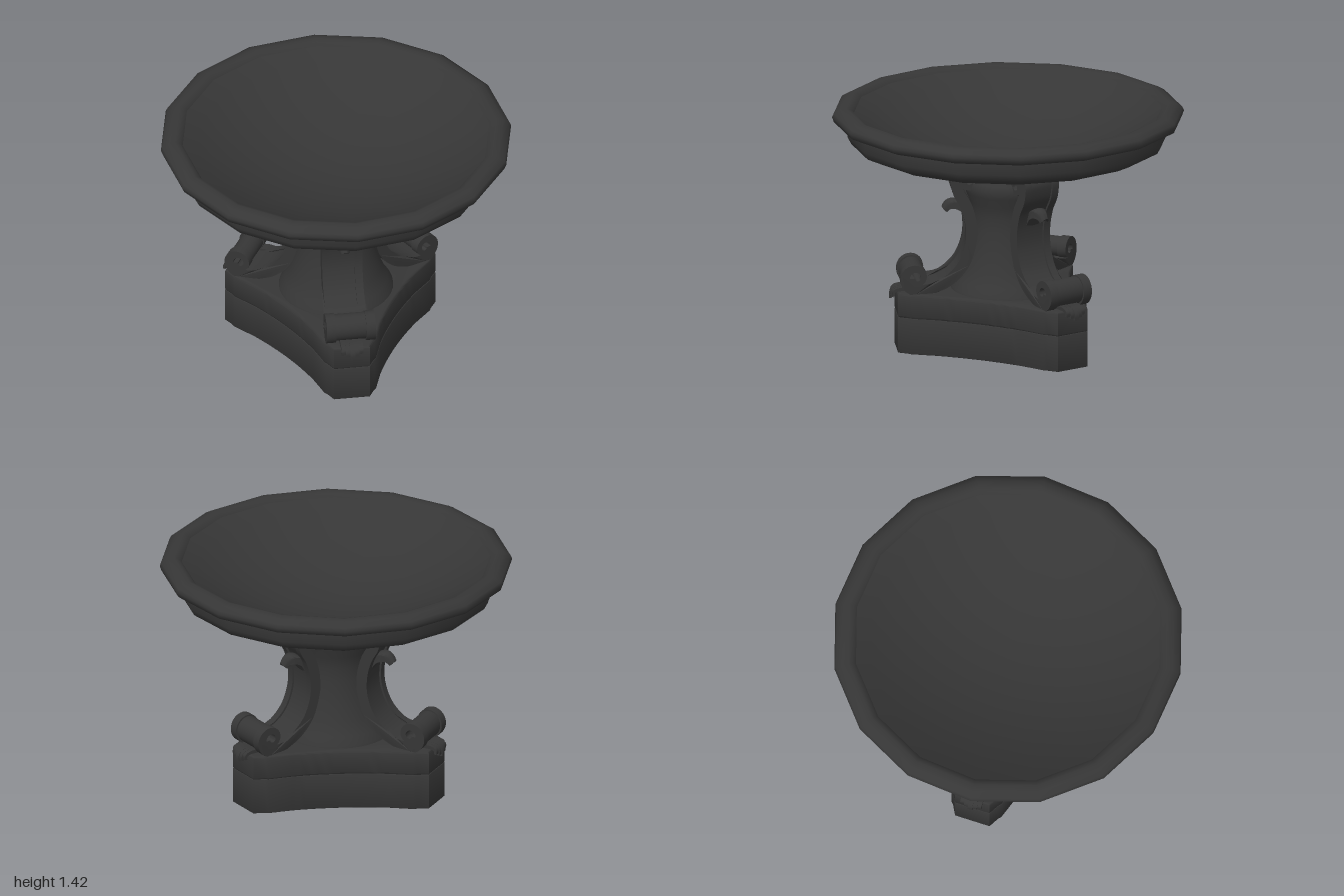
import * as THREE from 'three';
import { toCreasedNormals } from 'three/addons/utils/BufferGeometryUtils.js';

const stone = new THREE.MeshStandardMaterial({ color: 0x363636 });
const V = (x, y) => new THREE.Vector2(x, y);

function addMesh(parent, name, geometry, crease = 0.6) {
  const mesh = new THREE.Mesh(toCreasedNormals(geometry, crease), stone);
  mesh.name = name;
  parent.add(mesh);
  return mesh;
}

function lathe(profile, sides, start = 0) {
  return new THREE.LatheGeometry(profile.map(([r, y]) => V(r, y)), sides, start);
}

// Band of varying thickness along a path in the xy plane, extruded along z.
function ribbon(points, half, width, z = 0, steps = 110, slices = 1) {
  const curve = new THREE.SplineCurve(points);
  const outer = [], inner = [];
  for (let i = 0; i <= steps; i++) {
    const u = i / steps, p = curve.getPointAt(u), t = curve.getTangentAt(u), h = half(u);
    outer.push(V(p.x - t.y * h, p.y + t.x * h));
    inner.push(V(p.x + t.y * h, p.y - t.x * h));
  }
  const shape = new THREE.Shape(outer.concat(inner.reverse()));
  const g = new THREE.ExtrudeGeometry(shape, { depth: width, steps: slices, bevelEnabled: false });
  return g.translate(0, 0, z - width / 2);
}

function spiral(cx, cy, r0, r1, a0, turns, count = 22) {
  return Array.from({ length: count + 1 }, (_, i) => {
    const k = i / count, a = a0 + k * turns * Math.PI * 2, r = r0 + (r1 - r0) * k;
    return V(cx + r * Math.cos(a), cy + r * Math.sin(a));
  });
}

// Moves every vertex of a geometry by a rule (x, y, z) => [x, y, z].
function reshape(g, rule) {
  const p = g.attributes.position;
  for (let i = 0; i < p.count; i++) p.setXYZ(i, ...rule(p.getX(i), p.getY(i), p.getZ(i)));
  return g;
}

// Three-cornered outline with clipped corners and gently hollow sides.
function plinthShape() {
  const shape = new THREE.Shape();
  const half = [[0.43, 0.195], [0.568, 0.15], [0.585, 0.135], [0.642, 0.104]];
  const corner = [...half.map(([x, y]) => [x, -y]), ...half.slice().reverse()];
  for (let k = 0; k <= 3; k++) {
    const a = k * Math.PI * 2 / 3, c = Math.cos(a), s = Math.sin(a), m = a - Math.PI / 3;
    corner.forEach(([x, y], i) => {
      const px = x * c - y * s, py = x * s + y * c;
      if (k === 0 && i === 0) shape.moveTo(px, py);
      else if (i === 0) shape.quadraticCurveTo(0.345 * Math.cos(m), 0.345 * Math.sin(m), px, py);
      else if (k < 3) shape.lineTo(px, py);
    });
  }
  return shape;
}

function slab(y0, y1, bevel) {
  const g = new THREE.ExtrudeGeometry(plinthShape(), {
    depth: y1 - y0 - 2 * bevel, bevelThickness: bevel, bevelSize: bevel,
    bevelOffset: -bevel, bevelSegments: 2, curveSegments: 14,
  });
  return g.rotateX(-Math.PI / 2).translate(0, y0 + bevel, 0);
}

function makeLeg() {
  const leg = new THREE.Group();
  const path = [
    ...spiral(0.24, 1.013, 0.07, 0.02, 0, 1.25).reverse(),
    ...[[0.293, 0.94], [0.25, 0.86], [0.222, 0.75], [0.225, 0.63], [0.27, 0.51],
      [0.35, 0.425], [0.44, 0.385]].map(([x, y]) => V(x, y)),
    ...spiral(0.54, 0.449, 0.075, 0.024, -1.7, 1.25),
  ];
  const half = (u) => 0.014 + 0.019 * THREE.MathUtils.smoothstep(Math.min(u, 1 - u), 0, 0.28);

  // The foot scroll spreads wider than the rest of the leg.
  const spread = (g) => reshape(g, (x, y, z) =>
    [x, y, z * (1 + 0.22 * THREE.MathUtils.smoothstep(x, 0.4, 0.47))]);
  for (const side of [-1, 1])
    addMesh(leg, 'scrollEdge', spread(ribbon(path, half, 0.045, side * 0.094)));
  addMesh(leg, 'scrollPanel', spread(ribbon(path, (u) => half(u) * 0.65, 0.15)));

  // Small leaf curling off the front of the leg, drooping and tapering to its tip
  const curl = [V(0.235, 0.77), V(0.265, 0.835), V(0.308, 0.862), V(0.35, 0.858), V(0.374, 0.828)];
  const leaf = ribbon(curl, (u) => 0.007 + 0.014 * Math.sin(Math.PI * (0.1 + 0.8 * u)), 0.09, 0, 24, 6);
  addMesh(leg, 'leafCurl', reshape(leaf, (x, y, z) =>
    [x - 6 * z * z, y - 8 * z * z, z * (1 - 0.5 * THREE.MathUtils.smoothstep(x, 0.31, 0.38))]), 1.0);

  // Lobed leaf under the foot, draped over the plinth edge
  for (let i = -2; i <= 2; i++) {
    const drop = 0.065 - 0.012 * Math.abs(i), out = 0.04 - 0.007 * Math.abs(i);
    const lobe = [V(0.55, 0.36), V(0.61, 0.363), V(0.635 + out * 0.4, 0.358),
      V(0.642 + out * 0.8, 0.365 - drop * 0.5), V(0.637 + out, 0.365 - drop)];
    addMesh(leg, 'footLeafLobe', ribbon(lobe, (u) => 0.014 - 0.007 * u, 0.027, i * 0.025, 20));
  }
  return leg;
}

export function createModel() {
  const model = new THREE.Group();
  model.name = 'pedestalBasin';

  // Plinth in two courses
  addMesh(model, 'plinthLower', slab(0, 0.21, 0.002), 0.8);
  addMesh(model, 'plinthUpper', slab(0.207, 0.353, 0.012), 0.8);

  // Waisted column with a swelling below the neck
  const column = [[0, 0.34], [0.33, 0.345], [0.325, 0.365], [0.295, 0.41], [0.262, 0.49], [0.232, 0.6],
    [0.212, 0.72], [0.21, 0.8], [0.22, 0.87], [0.243, 0.925], [0.25, 0.965], [0.24, 1.0],
    [0.215, 1.03], [0.205, 1.06], [0.21, 1.09], [0.23, 1.105], [0.23, 1.13]];
  addMesh(model, 'column', lathe(column, 40));

  // Basin shell: collar, broad underside, stepped edge and chamfered rim
  const shell = [[0.22, 1.115], [0.25, 1.12], [0.27, 1.135], [0.315, 1.14], [0.333, 1.17],
    [0.825, 1.179], [0.9, 1.213], [0.922, 1.255], [0.916, 1.326], [0.965, 1.331],
    [1.0, 1.345], [1.011, 1.375], [1.002, 1.395], [0.965, 1.417], [0.927, 1.424],
    [0.902, 1.416], [0.885, 1.398]];
  addMesh(model, 'basinShell', lathe(shell, 16, 0.244), 1.5);

  // Hollow dish inside the rim
  const dish = Array.from({ length: 11 }, (_, i) => {
    const k = 1 - i / 10;
    return [0.885 * k, 1.133 + 0.265 * k * k];
  });
  addMesh(model, 'dish', lathe(dish, 16, 0.244));

  // Three scrolled legs
  for (let k = 0; k < 3; k++) {
    const leg = makeLeg();
    leg.name = 'scrollLeg' + (k + 1);
    leg.rotation.y = k * Math.PI * 2 / 3;
    model.add(leg);
  }
  return model;
}
